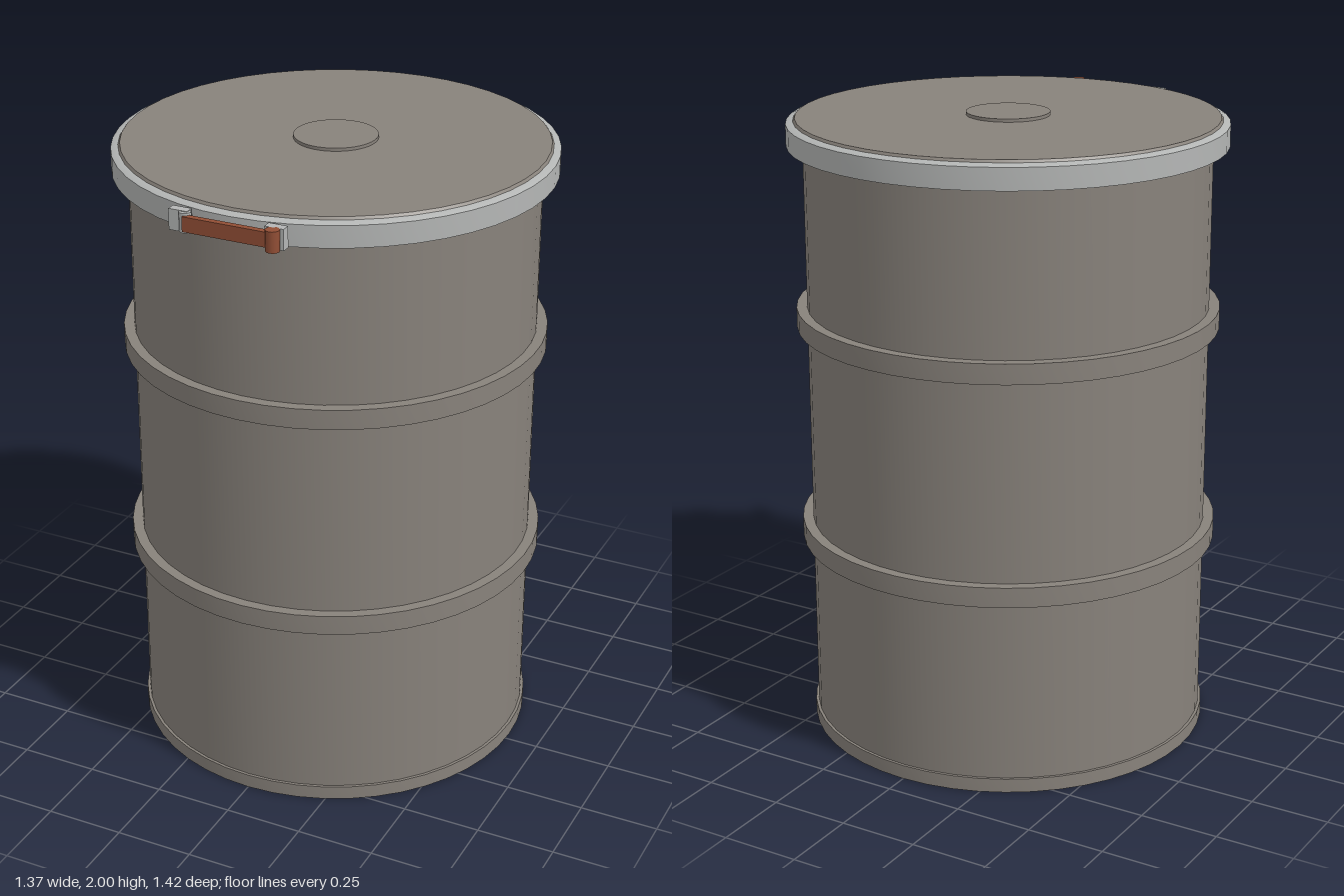
import * as THREE from 'three';
import { toCreasedNormals } from 'three/addons/utils/BufferGeometryUtils.js';

const SEGMENTS = 48;

export function createModel() {
  const model = new THREE.Group();
  model.name = 'steelDrum';
  const mat = (name, color) => new THREE.MeshStandardMaterial({ name, color });
  const drumPaint = mat('drumPaint', 0x88827b);
  const steel = mat('bareSteel', 0xb4b6b5);
  const rust = mat('rustyLever', 0x914e35);

  const add = (name, geometry, material, parent, x = 0, y = 0, z = 0) => {
    const mesh = new THREE.Mesh(geometry, material);
    mesh.name = name;
    mesh.position.set(x, y, z);
    parent.add(mesh);
    return mesh;
  };
  // Turned part; the profile runs up the outside
  const turned = (name, profile, material, parent) => {
    const lathe = new THREE.LatheGeometry(profile.map(([r, y]) => new THREE.Vector2(r, y)), SEGMENTS);
    return add(name, toCreasedNormals(lathe, 0.5), material, parent);
  };
  // Closed rectangular ring
  const ring = (name, inner, outer, y0, y1, material, parent) =>
    turned(name, [[inner, y0], [outer, y0], [outer, y1], [inner, y1], [inner, y0]], material, parent);

  // The drum sits slightly back so the latch balances the depth
  const drum = new THREE.Group();
  drum.name = 'drum';
  drum.position.z = -0.03;
  model.add(drum);

  // Wall with a recessed floor
  turned('body', [[0, 0.02], [0.633, 0.02], [0.633, 1.95]], drumPaint, drum);
  ring('bottomRim', 0.597, 0.642, 0, 0.045, drumPaint, drum);

  // Rolling hoops
  for (const y of [0.63, 1.33]) ring('rollingHoop', 0.625, 0.666, y, y + 0.064, drumPaint, drum);

  // Lid with skirt, and a low central boss
  turned('lid', [[0.63, 1.915], [0.655, 1.915], [0.662, 1.98], [0.655, 1.99], [0, 1.99]], drumPaint, drum);
  turned('lidBoss', [[0.13, 1.985], [0.13, 2], [0, 2]], drumPaint, drum);

  // Clamp band around the lid
  turned('clampBand', [[0.65, 1.906], [0.683, 1.906], [0.683, 1.974], [0.664, 1.982], [0.65, 1.982], [0.65, 1.906]], steel, drum);

  // Closing latch on the front
  const latch = new THREE.Group();
  latch.name = 'latch';
  latch.position.y = 1.943;
  model.add(latch);
  for (const x of [-0.154, 0.151]) add('latchLug', new THREE.BoxGeometry(0.06, 0.064, 0.028), steel, latch, x, 0, 0.661);
  add('hingePin', new THREE.CylinderGeometry(0.018, 0.018, 0.06, 16), steel, latch, -0.133, 0, 0.67);
  add('lever', new THREE.BoxGeometry(0.285, 0.046, 0.02), rust, latch, 0.012, 0, 0.685);
  add('leverEnd', new THREE.CylinderGeometry(0.021, 0.021, 0.064, 16), rust, latch, 0.153, 0, 0.688);

  return model;
}
